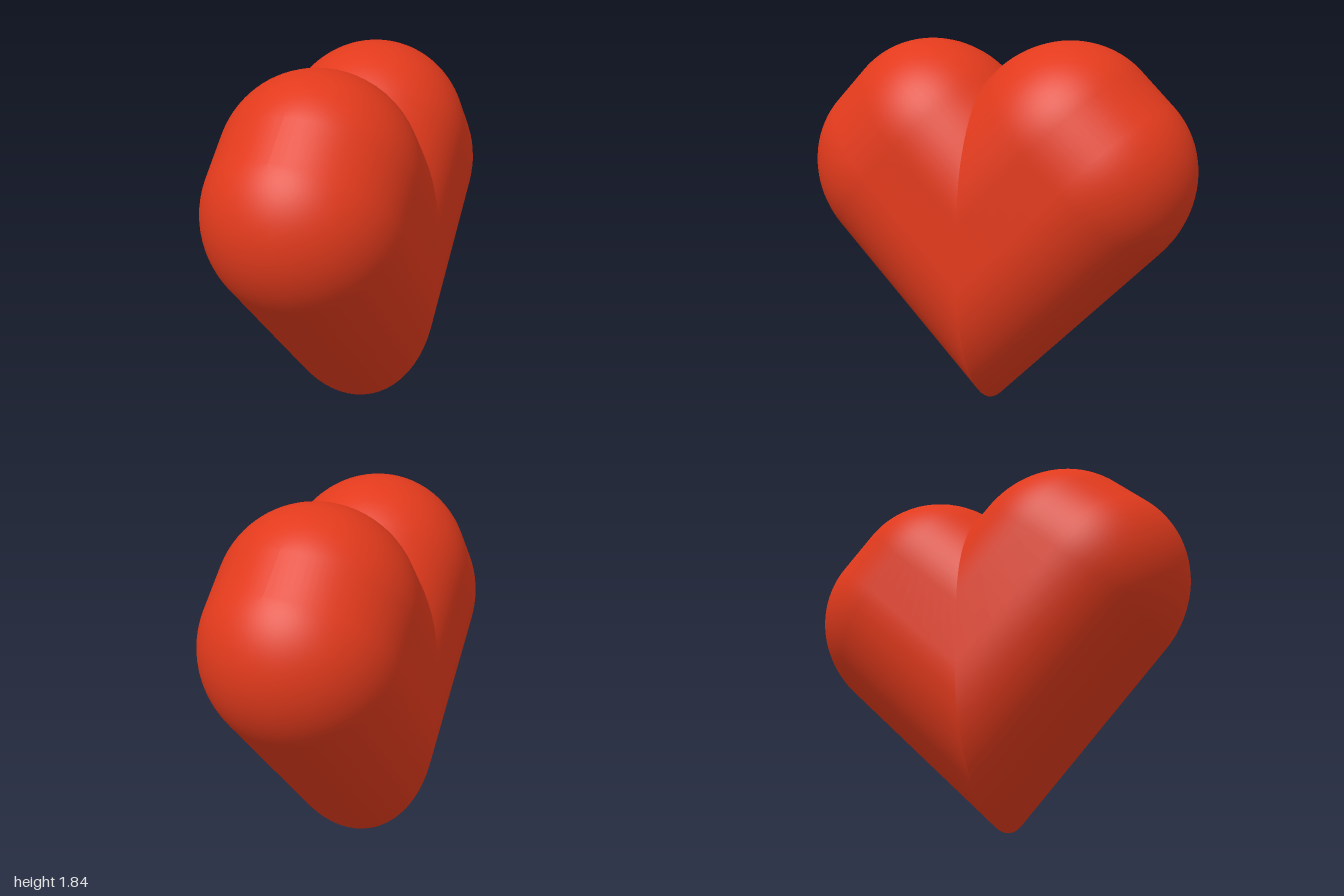
import * as THREE from 'three';

const R = 0.48;          // rounding radius, half the thickness
const SIDE = 1.19;       // straight side of the heart
const DOME = 0.515;      // height of the domed end of each lobe
const ARC = 32;          // segments per rounded edge
const RINGS = 24;        // rings over the dome

// One lobe: a stadium section swept at 45 degrees from the mitre at z = 0
// and closed by a dome. u runs across the lobe, v along it.
function lobeGeometry() {
  const positions = [];
  const indices = [];
  const mid = SIDE / 2;
  const halfFlat = mid - R;
  const perRing = 2 * (ARC + 1);

  function addRing(radius, vAt) {
    for (const end of [1, -1]) {
      for (let i = 0; i <= ARC; i++) {
        const a = (i / ARC) * Math.PI + (end > 0 ? 0 : Math.PI);
        const x = radius * Math.cos(a);
        const u = mid + end * halfFlat + radius * Math.sin(a);
        const v = vAt(u);
        positions.push(x, (u + v) * Math.SQRT1_2, (v - u) * Math.SQRT1_2);
      }
    }
  }

  // Straight body, from the mitre plane (v = u) to the base of the dome
  const BODY = 8;
  for (let j = 0; j < BODY; j++) {
    addRing(R, (u) => u + (SIDE - u) * (j / BODY));
  }
  // Dome, closing to a short ridge
  for (let j = 0; j <= RINGS; j++) {
    const a = (j / RINGS) * Math.PI / 2;
    addRing(R * Math.cos(a), () => SIDE + DOME * Math.sin(a));
  }

  for (let j = 0; j < BODY + RINGS; j++) {
    for (let i = 0; i < perRing; i++) {
      const k = (i + 1) % perRing;
      const a = j * perRing + i, b = j * perRing + k;
      const c = b + perRing, d = a + perRing;
      indices.push(a, b, c, a, c, d);
    }
  }

  const geometry = new THREE.BufferGeometry();
  geometry.setAttribute('position', new THREE.Float32BufferAttribute(positions, 3));
  geometry.setIndex(indices);
  geometry.computeVertexNormals();
  return geometry;
}

export function createModel() {
  const heart = new THREE.Group();
  heart.name = 'heart';
  const material = new THREE.MeshStandardMaterial({ color: 0xe23a1c });
  const geometry = lobeGeometry();

  // Two matching lobes meeting at the middle
  ['frontLobe', 'backLobe'].forEach((name, i) => {
    const lobe = new THREE.Mesh(geometry, material);
    lobe.name = name;
    lobe.rotation.y = i * Math.PI;
    heart.add(lobe);
  });
  return heart;
}
